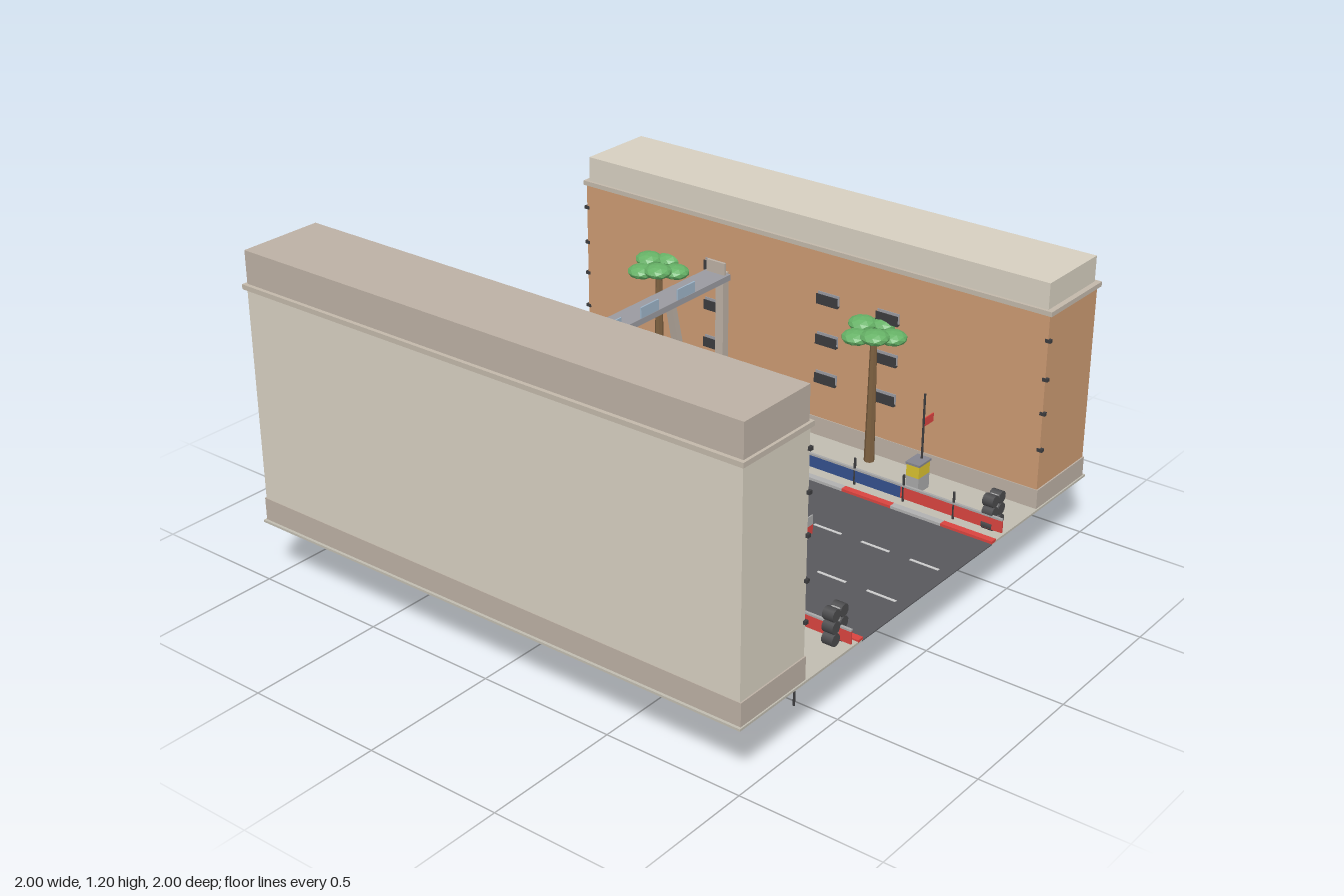
import * as THREE from 'three';

const mat = (color, extra = {}) => new THREE.MeshStandardMaterial({ color, ...extra });
const C = {
  road: mat(0x58585c), paving: mat(0xc0bcb0), kerbGrey: mat(0xb0b0b0), red: mat(0xd9443f), white: mat(0xdcdcdc),
  cream: mat(0xd6cfc0), stone: mat(0xbcb0a4), orange: mat(0xcc9a72), trim: mat(0xc2b8aa), steel: mat(0x9a9aa0),
  glass: mat(0x9db4c8), dark: mat(0x3c3c3e), tyre: mat(0x4a4a4c), blue: mat(0x34508c), yellow: mat(0xd8c030),
  grey: mat(0xa8a8a8), leaf: mat(0x66b266, { flatShading: true }), bark: mat(0x7d6040, { flatShading: true }),
};
const G = 0.225; // street level

export function createModel() {
  const root = new THREE.Group();
  const add = (name, geo, material, x = 0, y = 0, z = 0, parent = root) => {
    const m = new THREE.Mesh(geo, material);
    m.name = name;
    m.position.set(x, y, z);
    parent.add(m);
    return m;
  };
  // box given by its limits on each axis
  const box = (name, material, x0, x1, y0, y1, z0, z1, parent = root) =>
    add(name, new THREE.BoxGeometry(Math.abs(x1 - x0), y1 - y0, z1 - z0), material,
      (x0 + x1) / 2, (y0 + y1) / 2, (z0 + z1) / 2, parent);
  const pole = (name, material, r0, r1, x, y0, y1, z, parent = root, sides = 8) =>
    add(name, new THREE.CylinderGeometry(r1, r0, y1 - y0, sides), material, x, (y0 + y1) / 2, z, parent);
  const group = (name) => {
    const g = new THREE.Group();
    g.name = name;
    root.add(g);
    return g;
  };

  // road and dashed lane lines
  box('road', C.road, -0.38, 0.38, G - 0.004, G, -1, 1);
  for (const x of [-0.125, 0.125])
    for (let i = 0; i < 10; i++) {
      const z = -0.87 + i * 0.1905;
      box('laneDash', C.white, x - 0.005, x + 0.005, G, G + 0.002, z, z + 0.11);
    }

  for (const s of [-1, 1]) {
    // pavement and striped kerb
    box('pavement', C.paving, s * 0.38, s, G - 0.004, G + 0.004, -1, 1);
    for (let i = 0; i < 10; i++) {
      const z = -1 + i * 0.2;
      box('kerb', i % 2 ? C.red : C.kerbGrey, s * 0.376, s * 0.402, G, G + 0.01, z, z + 0.2);
    }

    // barrier: posts, coloured boards and a top rail
    const barrier = group('barrier');
    for (let i = 0; i < 10; i++) pole('barrierPost', C.dark, 0.005, 0.005, s * 0.44, 0.19, 0.33, -0.99 + i * 0.2, barrier, 6);
    [C.blue, C.blue, C.yellow, C.blue, C.red].forEach((m, i) =>
      box('barrierBoard', m, s * 0.437, s * 0.443, G + 0.015, G + 0.06, -1 + i * 0.4, -0.6 + i * 0.4, barrier));
    box('barrierRail', C.grey, s * 0.435, s * 0.445, G + 0.06, G + 0.067, -1, 1, barrier);

    // tyre stack at the front end of the barrier
    const tyres = group('tyreStack');
    const tx = s < 0 ? -0.443 : 0.477;
    for (let r = 0; r < 3; r++)
      for (const dx of [-0.021, 0.021])
        add('tyre', new THREE.CylinderGeometry(0.022, 0.022, 0.04, 10).rotateX(Math.PI / 2), C.tyre, tx + dx, 0.25 + r * 0.043, 0.94, tyres);
    box('tyreStrap', C.grey, tx - 0.006, tx + 0.006, G, 0.35, 0.925, 0.955, tyres);
  }

  // buildings: plinth, wall, cornice, parapet, window boxes on the street side
  const building = (name, s, wall, cap, wallTop, top, baseTop, capEnd, tabs, bays) => {
    const g = group(name);
    box('plinth', C.stone, s * 0.672, s * 0.99, G, baseTop, -0.995, 0.995, g);
    box('wall', wall, s * 0.675, s * 0.988, baseTop, wallTop, -0.99, 0.99, g);
    box('cornice', C.trim, s * 0.668, s, wallTop, wallTop + 0.017, -1, 1, g);
    box('parapet', cap, s * 0.68, s * 0.986, wallTop + 0.017, top, -capEnd, capEnd, g);
    for (const y of tabs)
      for (const e of [-1, 1]) box('cornerBracket', C.dark, s * 0.671, s * 0.685, y - 0.006, y + 0.006, e * 0.99 - 0.01, e * 0.99 + 0.01, g);
    for (const z of bays)
      for (const y of [0.445, 0.595, 0.75]) {
        box('windowPane', C.steel, s * 0.672, s * 0.68, y, y + 0.04, z - 0.045, z + 0.045, g);
        box('windowSill', C.dark, s * 0.661, s * 0.68, y - 0.004, y + 0.002, z - 0.045, z + 0.045, g);
        box('windowGuard', C.dark, s * 0.661, s * 0.664, y, y + 0.034, z - 0.045, z + 0.045, g);
      }
  };
  building('creamBuilding', -1, C.cream, C.stone, 1.068, 1.2, 0.31, 0.99, [0.43, 0.57, 0.72, 0.86, 1.0], [0.37, 0.12, -0.13, -0.38]);
  building('orangeBuilding', 1, C.orange, C.cream, 0.94, 1.05, 0.3, 0.98, [0.45, 0.585, 0.71, 0.85], [0.37, 0.12, -0.38]);

  // footbridge with glazed panels, end columns and slanted struts
  const bridge = group('footbridge');
  box('deck', C.steel, -0.6, 0.6, 0.768, 0.79, -0.355, -0.255, bridge);
  for (let i = 0; i < 5; i++) {
    const x = -0.505 + i * 0.201;
    box('bridgePanel', C.glass, x, x + 0.097, 0.785, 0.83, -0.262, -0.256, bridge);
  }
  for (const s of [-1, 1]) {
    box('bridgeColumn', C.stone, s * 0.603, s * 0.635, G, 0.78, -0.325, -0.29, bridge);
    box('endPost', C.stone, s * 0.576, s * 0.586, 0.79, 0.835, -0.345, -0.265, bridge);
    const strut = add('strut', new THREE.BoxGeometry(0.024, 0.295, 0.03), C.stone, s * 0.35, 0.625, -0.305, bridge);
    strut.rotation.z = s * 0.235;
  }

  // trees: tapered trunk with a ring of flattened crowns
  const crown = new THREE.IcosahedronGeometry(0.052, 1).scale(1, 0.5, 1);
  for (const [x, z] of [[-0.62, 0.7], [-0.62, -0.15], [0.62, 0.35], [0.62, -0.6]]) {
    const tree = group('tree');
    pole('trunk', C.bark, 0.02, 0.012, x, 0.18, 0.73, z, tree, 7);
    for (let i = 0; i < 5; i++) {
      const a = (i * Math.PI * 2) / 5;
      add('crown', crown, C.leaf, x + 0.066 * Math.cos(a), i % 2 ? 0.715 : 0.735, z + 0.066 * Math.sin(a), tree);
    }
  }

  // flag poles
  const flag = (x, z, y0, top, fy, w, twoTone, m) => {
    const g = group('flagPole');
    pole('pole', m, 0.004, 0.004, x, y0, top, z, g);
    box('flagLower', C.red, x, x + w, fy, fy + 0.031, z - 0.002, z + 0.002, g);
    if (twoTone) box('flagUpper', C.grey, x, x + w, fy + 0.031, fy + 0.063, z - 0.002, z + 0.002, g);
  };
  flag(-0.52, 0.85, 0, 0.88, 0.577, 0.072, true, C.dark);
  flag(-0.52, 0.6, 0, 0.7, 0.577, 0.072, true, C.dark);
  flag(0.565, 0.6, G, 0.585, 0.46, 0.06, false, C.dark);

  // small kiosk
  const kiosk = group('kiosk');
  box('kioskBase', C.grey, 0.513, 0.582, G, 0.287, 0.572, 0.623, kiosk);
  box('kioskBody', C.yellow, 0.513, 0.582, 0.287, 0.332, 0.572, 0.623, kiosk);
  box('kioskRoof', mat(0x85858f), 0.51, 0.586, 0.332, 0.34, 0.569, 0.626, kiosk);

  return root;
}
